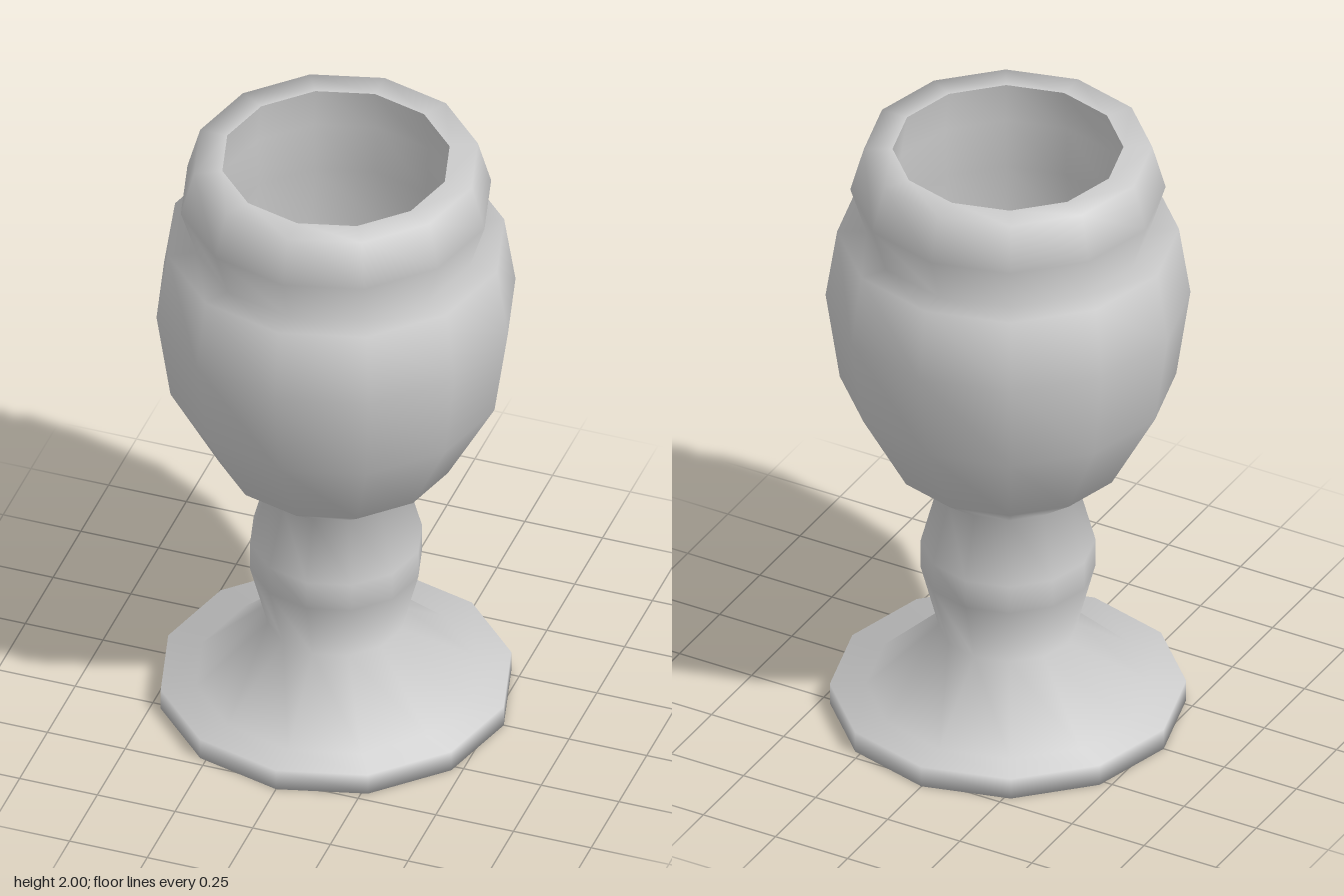
import * as THREE from 'three';

const SIDES = 12;

// Turn a radius/height profile into a smooth twelve-sided solid of revolution
function turned(name, profile, material) {
  const points = profile.map(([r, y]) => new THREE.Vector2(r, y));
  const mesh = new THREE.Mesh(new THREE.LatheGeometry(points, SIDES), material);
  mesh.name = name;
  return mesh;
}

export function createModel() {
  const group = new THREE.Group();
  group.name = 'goblet';
  const material = new THREE.MeshStandardMaterial({ color: 0xcccccc });

  // Profiles run from the underside outward, up and over the lip
  const foot = [[0, 0], [0.54, 0], [0.54, 0.07], [0.43, 0.07]];
  const stem = [[0.21, 0.28], [0.265, 0.49], [0.265, 0.585], [0.21, 0.79]];
  const bowl = [[0.36, 0.905], [0.51, 1.18], [0.553, 1.475], [0.518, 1.703]];
  const collar = [[0.43, 1.703], [0.478, 1.855], [0.437, 2], [0.35, 2]];

  // Outside: one continuous smooth skin
  group.add(turned('outerBody', [...foot, ...stem, ...bowl, ...collar], material));

  // Inside: hollow from the lip down to the bottom of the bowl
  const hollow = [
    [0.35, 2], [0.37, 1.86], [0.36, 1.7], [0.41, 1.47],
    [0.38, 1.22], [0.25, 1.02], [0, 0.93],
  ];
  group.add(turned('cupInterior', hollow, material));

  return group;
}
